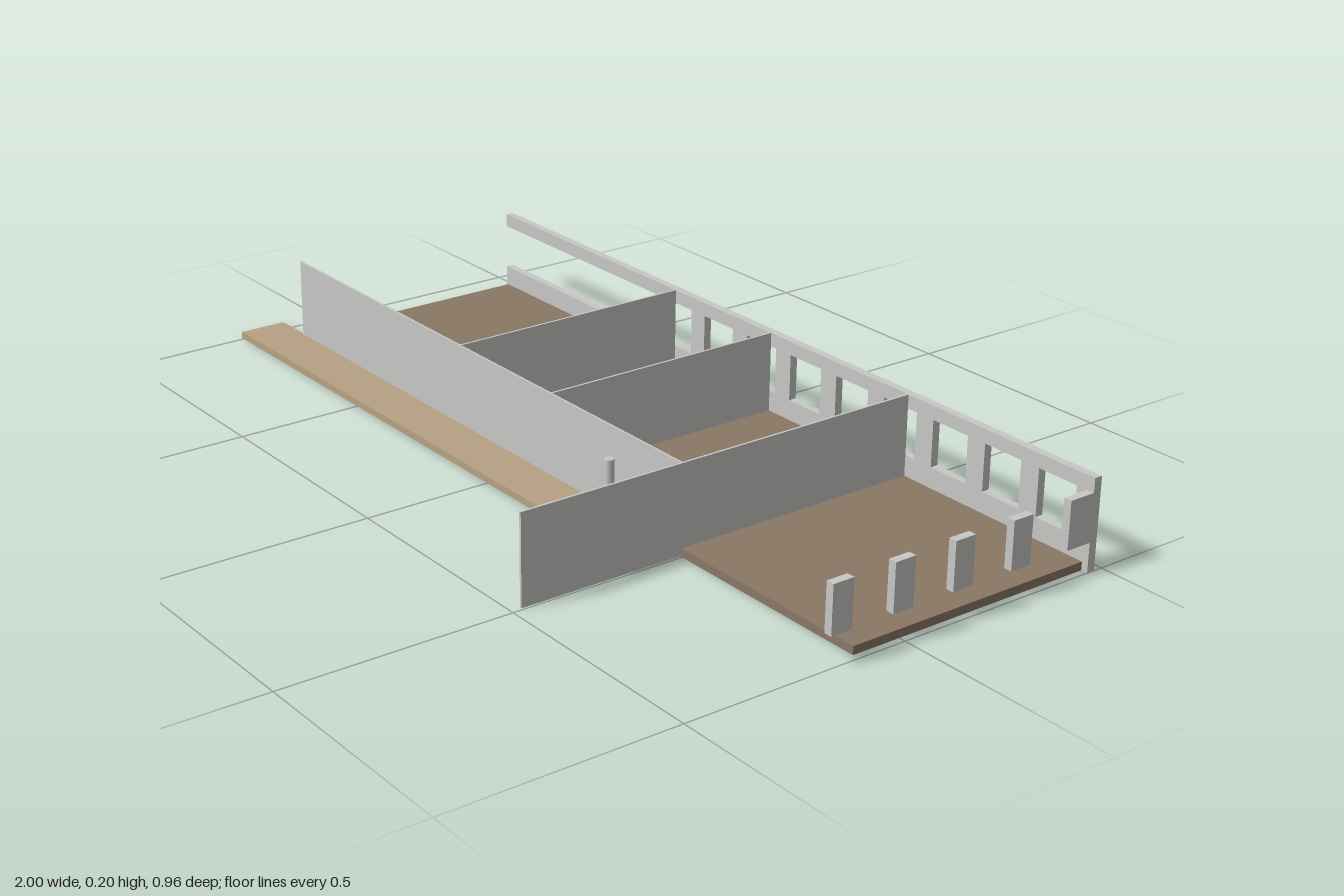
import * as THREE from 'three';

const material = (name, color) => {
  const m = new THREE.MeshStandardMaterial({ color });
  m.name = name;
  return m;
};

export function createModel() {
  const model = new THREE.Group();
  model.name = 'building';
  const wall = material('wall grey', 0xc8c8c6);
  const floor = material('floor brown', 0x8b7866);
  const deck = material('deck tan', 0xb7a284);

  const add = (name, geometry, mat) => {
    const mesh = new THREE.Mesh(geometry, mat);
    mesh.name = name;
    model.add(mesh);
    return mesh;
  };
  // Box given by its minimum and maximum on each axis
  const box = (name, mat, [x0, x1], [y0, y1], [z0, z1]) =>
    add(name, new THREE.BoxGeometry(x1 - x0, y1 - y0, z1 - z0), mat)
      .position.set((x0 + x1) / 2, (y0 + y1) / 2, (z0 + z1) / 2);

  const top = 0.195, sill = 0.063, head = 0.165, base = 0.018;

  // Floor slab and front walkway
  box('floor', floor, [-0.905, 0.985], [0, base], [-0.463, 0.11]);
  box('walkway', deck, [-1, 0.495], [0.003, base], [0.11, 0.22]);

  // Back wall outline, with the long opening left open at its right end
  const outline = new THREE.Shape([
    [-0.91, 0], [1, 0], [1, top], [-0.91, top],
    [-0.91, head], [-0.195, head], [-0.195, sill], [-0.91, sill],
  ].map(([x, y]) => new THREE.Vector2(x, y)));

  // Row of eight windows
  for (let i = 0; i < 8; i++) {
    const x1 = 0.957 - i * 0.1442, x0 = x1 - 0.097;
    outline.holes.push(new THREE.Path([
      [x0, sill], [x0, head], [x1, head], [x1, sill],
    ].map(([x, y]) => new THREE.Vector2(x, y))));
  }
  add('backWall', new THREE.ExtrudeGeometry(outline, { depth: 0.018, bevelEnabled: false }), wall)
    .position.z = -0.48;

  // Piers between the openings of the left side
  for (let i = 0; i < 4; i++) {
    const z = 0.153 - i * 0.1448;
    box('sidePier', wall, [0.982, 1], [sill, head], [z - 0.024, z + 0.024]);
  }
  box('cornerPier', wall, [0.982, 1], [sill, head], [-0.462, -0.403]);

  // Thin front wall and cross partitions
  box('frontWall', wall, [-0.905, 0.495], [base, top], [0.107, 0.112]);
  for (const x of [-0.254, 0.072]) {
    box('partition', wall, [x - 0.0025, x + 0.0025], [base, top], [-0.462, 0.107]);
  }
  box('longPartition', wall, [0.493, 0.498], [0.002, top], [-0.462, 0.48]);

  // Round post on the walkway
  add('post', new THREE.CylinderGeometry(0.01, 0.01, top - base, 20), wall)
    .position.set(0.4, (top + base) / 2, 0.209);

  return model;
}
